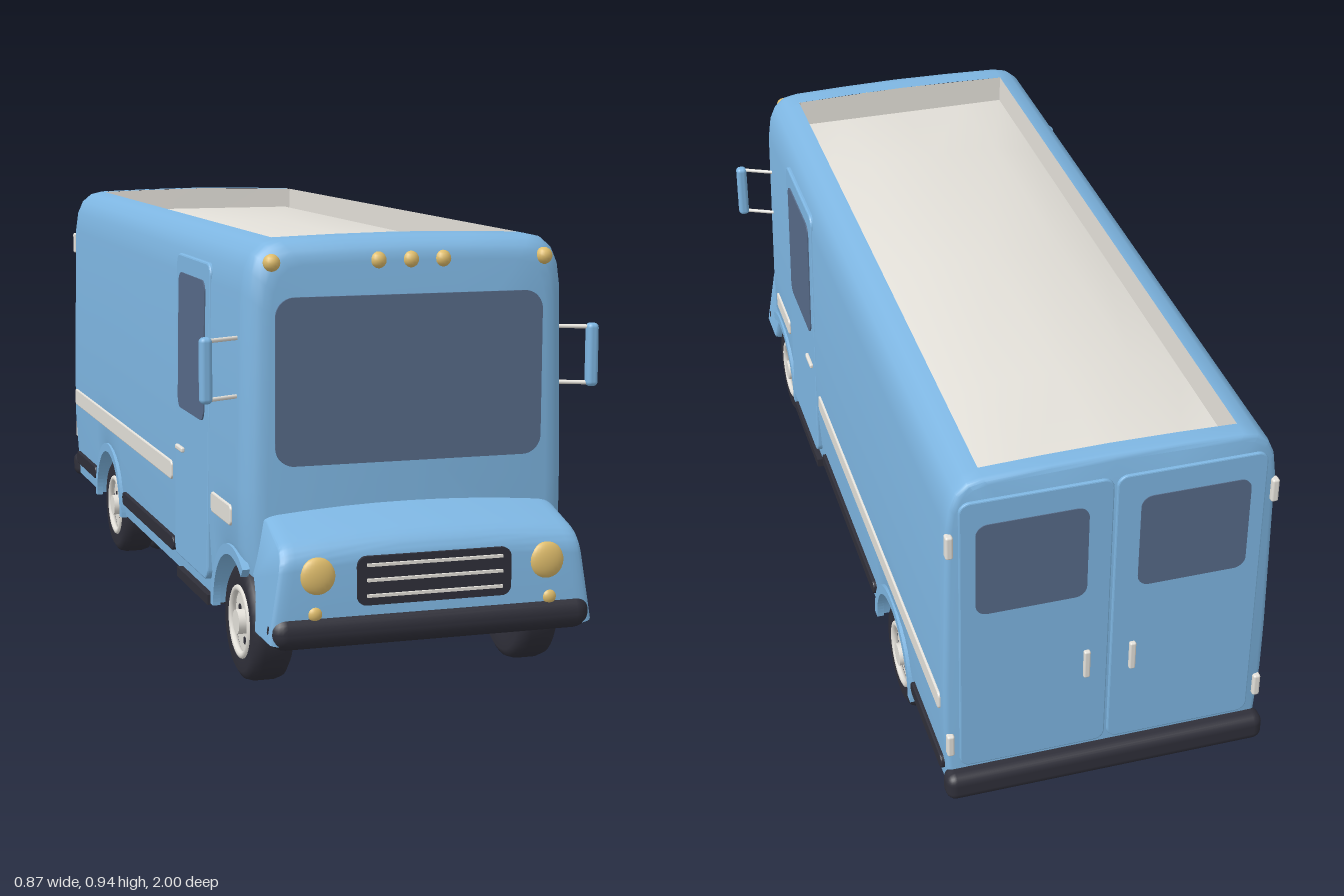
import * as THREE from 'three';
import { toCreasedNormals } from 'three/addons/utils/BufferGeometryUtils.js';
import { RoundedBoxGeometry } from 'three/addons/geometries/RoundedBoxGeometry.js';

const paint = (name, color, side = THREE.FrontSide) => {
  const m = new THREE.MeshStandardMaterial({ color, side });
  m.name = name;
  return m;
};

const ARCH = 0.145, AXLE_Y = 0.125, FRONT_Z = 0.73, REAR_Z = -0.51, FLOOR = 0.13;

export function createModel() {
  const van = new THREE.Group();
  van.name = 'stepVan';
  const blue = paint('bodyBlue', 0x7eb6e2);
  const glass = paint('glass', 0x566a88);
  const dark = paint('darkRubber', 0x2f2f39);
  const silver = paint('silver', 0xe4e1da);
  const roofWhite = paint('roofWhite', 0xe2dfd8, THREE.DoubleSide);
  const gold = paint('amberLamp', 0xdfbd6c);

  const add = (name, geo, mat, x = 0, y = 0, z = 0, parent = van) => {
    const m = new THREE.Mesh(geo, mat);
    m.name = name;
    m.position.set(x, y, z);
    parent.add(m);
    return m;
  };
  const box = (name, w, h, d, mat, x, y, z) => add(name, new THREE.BoxGeometry(w, h, d), mat, x, y, z);
  const soft = (name, w, h, d, r, mat, x, y, z) => add(name, new RoundedBoxGeometry(w, h, d, 3, r), mat, x, y, z);

  // rounded plate facing +z, centred in x and y, its back on z = 0
  const plate = (w, h, r, depth, bevel = 0) => {
    const a = w / 2 - bevel, b = h / 2 - bevel, s = new THREE.Shape();
    s.absarc(a - r, b - r, r, 0, Math.PI / 2);
    s.absarc(r - a, b - r, r, Math.PI / 2, Math.PI);
    s.absarc(r - a, r - b, r, Math.PI, Math.PI * 1.5);
    s.absarc(a - r, r - b, r, Math.PI * 1.5, Math.PI * 2);
    return new THREE.ExtrudeGeometry(s, { depth: depth - bevel, bevelEnabled: bevel > 0, bevelSize: bevel, bevelThickness: bevel, bevelSegments: 2, curveSegments: 6 });
  };
  // plate on a side wall, given by its z and y ranges and outer x, leaning in at the top by tilt
  const sidePlate = (name, side, z0, z1, y0, y1, r, depth, mat, xOut, bevel = 0, tilt = 0) => {
    const g = plate(z1 - z0, y1 - y0, r, depth, bevel);
    g.rotateY(side * Math.PI / 2);
    add(name, g, mat, side * (xOut - depth), (y0 + y1) / 2, (z0 + z1) / 2).rotation.z = side * tilt;
  };

  // body shell: one cross-section lofted along z, with wheel arches and an open roof
  const half = [[0.345, FLOOR], [0.355, 0.3], [0.355, 0.42], [0.347, 0.82], [0.34, 0.87], [0.326, 0.902], [0.302, 0.922], [0.27, 0.929], [0.14, 0.933]];
  const outline = [...half, [0, 0.935], ...half.slice().reverse().map(([x, y]) => [-x, y])];
  const stations = [-0.965, -0.962, -0.957, -0.95, -0.92, 0.74, 0.78, 0.8, 0.815, 0.826, 0.832, 0.835];
  for (const c of [FRONT_Z, REAR_Z]) {
    for (let i = 0; i <= 16; i++) {
      const z = c + ARCH * Math.cos(i * Math.PI / 16);
      if (z < 0.83) stations.push(z);
    }
    if (c === REAR_Z) stations.push(c + ARCH + 0.001);
    stations.push(c - ARCH - 0.001);
  }
  stations.sort((a, b) => a - b);
  const bottom = z => {
    const d = Math.min(Math.abs(z - FRONT_Z), Math.abs(z - REAR_Z));
    return d < ARCH ? Math.max(FLOOR, AXLE_Y + Math.sqrt(ARCH * ARCH - d * d)) : FLOOR;
  };
  const inset = z => {
    const t = z > 0.78 ? (z - 0.78) / 0.055 : z < -0.95 ? (-0.95 - z) / 0.015 : 0;
    return (z > 0 ? 0.05 : 0.012) * (1 - Math.sqrt(Math.max(0, 1 - t * t)));
  };
  const pos = [], index = [], n = outline.length, last = stations.length - 1;
  for (const z of stations) {
    const d = inset(z);
    for (const [x, y] of outline) {
      pos.push(x * (1 - d / 0.355), y === FLOOR ? bottom(z) : y - d * Math.max(0, (y - 0.3) / 0.635), z);
    }
  }
  for (let k = 0; k < last; k++) {
    const open = stations[k] >= -0.921 && stations[k + 1] <= 0.741;
    for (let i = 0; i < n; i++) {
      if (open && i >= 7 && i <= 10) continue;
      const j = (i + 1) % n, a = k * n + i, b = k * n + j;
      index.push(a, b, b + n, a, b + n, a + n);
    }
  }
  pos.push(0, 0.5, stations[0], 0, 0.5, stations[last]);
  const hubBack = (last + 1) * n;
  for (let i = 0; i < n; i++) {
    const j = (i + 1) % n;
    index.push(hubBack, j, i, hubBack + 1, last * n + i, last * n + j);
  }
  const shell = new THREE.BufferGeometry();
  shell.setAttribute('position', new THREE.Float32BufferAttribute(pos, 3));
  shell.setIndex(index);
  add('bodyShell', toCreasedNormals(shell, 0.6), blue);

  // sunken roof panel with a slight crown
  const xs = [-0.27, -0.267, -0.16, 0, 0.16, 0.267, 0.27];
  const zs = [-0.92, -0.917, -0.6, -0.1, 0.42, 0.737, 0.74];
  const rimY = [0.929, 0.929, 0.932, 0.935, 0.932, 0.929, 0.929];
  const tray = new THREE.PlaneGeometry(1, 1, 6, 6).rotateX(-Math.PI / 2);
  for (let r = 0; r < 7; r++) for (let c = 0; c < 7; c++) {
    const ring = Math.min(r, c, 6 - r, 6 - c);
    tray.attributes.position.setXYZ(r * 7 + c, xs[c], [rimY[c], 0.866, 0.9, 0.905][ring], zs[r]);
  }
  add('roofPanel', toCreasedNormals(tray, 0.7), roofWhite);

  // hood: side profile extruded across, tapered and crowned
  const nose = new THREE.Shape();
  nose.moveTo(0.8, 0.38);
  nose.lineTo(0.85, 0.376);
  nose.lineTo(0.93, 0.351);
  nose.quadraticCurveTo(0.972, 0.34, 0.977, 0.3);
  nose.lineTo(0.98, 0.145);
  nose.lineTo(0.885, 0.145);
  for (let i = 1; i <= 6; i++) {
    const a = i * Math.PI / 18;
    nose.lineTo(FRONT_Z + 0.152 * Math.cos(a), AXLE_Y + 0.152 * Math.sin(a));
  }
  const hood = new THREE.ExtrudeGeometry(nose, { depth: 0.58, steps: 8, bevelSize: 0.008, bevelThickness: 0.03, bevelSegments: 4 });
  hood.translate(0, 0, -0.29).rotateY(-Math.PI / 2);
  const hp = hood.attributes.position;
  for (let i = 0; i < hp.count; i++) {
    // the turn maps depth to -x and the profile to +z
    const x = hp.getX(i), y = hp.getY(i);
    hp.setXYZ(i, x * (1.06 - 0.45 * (y - 0.2)), y - (y > 0.3 ? 0.16 * x * x : 0), hp.getZ(i));
  }
  add('hood', toCreasedNormals(hood, 0.6), blue);

  // front face
  add('windshield', plate(0.58, 0.345, 0.04, 0.007), glass, 0, 0.6425, 0.833);
  add('grille', plate(0.33, 0.1, 0.02, 0.012), dark, 0, 0.26, 0.979);
  for (const y of [0.23, 0.262, 0.293]) box('grilleBar', 0.29, 0.006, 0.008, silver, 0, y, 0.993);
  for (const x of [-0.295, -0.07, 0, 0.07, 0.295]) {
    add('markerLamp', new THREE.SphereGeometry(0.018, 14, 10), gold, x, 0.885, 0.828);
  }
  soft('frontBumper', 0.69, 0.072, 0.07, 0.034, dark, 0, 0.161, 0.965);
  soft('rearBumper', 0.715, 0.065, 0.055, 0.022, dark, 0, 0.153, -0.9725);

  // wheels
  const tyreProfile = [[0.07, -0.04], [0.105, -0.045], [0.12, -0.036], [0.125, -0.02], [0.125, 0.02], [0.12, 0.036], [0.105, 0.045], [0.07, 0.04]].map(p => new THREE.Vector2(...p));
  const tyre = new THREE.LatheGeometry(tyreProfile, 36).rotateZ(Math.PI / 2);
  const disc = (r, h) => new THREE.CylinderGeometry(r, r, h, 24).rotateZ(Math.PI / 2);
  const wheel = (name, side, z, dual) => {
    const g = new THREE.Group();
    g.name = name;
    g.position.set(side * 0.295, AXLE_Y, z);
    van.add(g);
    add('tyre', tyre, dark, 0, 0, 0, g);
    if (dual) add('innerTyre', tyre, dark, -side * 0.079, 0, 0, g).scale.x = 0.78;
    add('wheelDisc', disc(0.074, 0.05), silver, side * 0.005, 0, 0, g);
    add('backDisc', disc(0.074, 0.02), dark, -side * (dual ? 0.095 : 0.025), 0, 0, g);
    add('rim', new THREE.TorusGeometry(0.071, 0.008, 8, 32).rotateY(Math.PI / 2), silver, side * 0.039, 0, 0, g);
    add('hub', disc(0.026, 0.03), silver, side * 0.035, 0, 0, g);
    for (let i = 0; i < 6; i++) {
      const a = i * Math.PI / 3;
      add('wheelSlot', disc(0.008, 0.006), dark, side * 0.029, 0.042 * Math.cos(a), 0.042 * Math.sin(a), g);
    }
  };

  for (const s of [-1, 1]) {
    wheel('frontWheel', s, FRONT_Z, false);
    wheel('rearWheel', s, REAR_Z, true);

    // wheel arch flares; the front one stops at the body's front corner
    for (const [z, cut] of [[FRONT_Z, 0.95], [REAR_Z, 0]]) {
      const a0 = s < 0 ? cut : 0, a1 = s < 0 ? Math.PI : Math.PI - cut;
      const arc = new THREE.Shape();
      arc.absarc(0, 0, 0.165, a0, a1, false);
      arc.absarc(0, 0, 0.143, a1, a0, true);
      const g = new THREE.ExtrudeGeometry(arc, { depth: 0.016, bevelEnabled: false, curveSegments: 20 });
      add('archFlare', g.rotateY(s * Math.PI / 2), blue, s * 0.341, AXLE_Y, z);
    }

    // side door, window, handle and step
    sidePlate('sideDoor', s, 0.255, 0.55, 0.17, 0.86, 0.022, 0.02, blue, 0.3555, 0.004, 0.016);
    sidePlate('doorWindow', s, 0.285, 0.515, 0.515, 0.82, 0.025, 0.006, glass, 0.356, 0, 0.016);
    soft('doorHandle', 0.01, 0.012, 0.06, 0.004, silver, s * 0.36, 0.422, 0.31);
    box('doorStep', 0.1, 0.022, 0.28, dark, s * 0.31, 0.128, 0.41);

    // side trim
    sidePlate('trimFront', s, 0.58, 0.74, 0.332, 0.376, 0.008, 0.012, silver, 0.36, 0.003);
    sidePlate('trimLong', s, -0.935, 0.22, 0.332, 0.376, 0.008, 0.012, silver, 0.36, 0.003);
    sidePlate('rubStrip', s, -0.335, 0.22, 0.163, 0.197, 0.012, 0.018, dark, 0.357, 0.003);
    sidePlate('rubStripRear', s, -0.94, -0.68, 0.163, 0.197, 0.012, 0.018, dark, 0.357, 0.003);

    // headlamps and indicators
    const lamp = new THREE.SphereGeometry(1, 24, 14);
    add('headlamp', lamp, gold, s * 0.246, 0.274, 0.98).scale.set(0.039, 0.039, 0.016);
    add('indicator', lamp, gold, s * 0.252, 0.198, 0.982).scale.set(0.016, 0.016, 0.012);

    // mirror on two arms
    soft('mirror', 0.026, 0.136, 0.026, 0.01, blue, s * 0.424, 0.668, 0.795);
    for (const y of [0.608, 0.728]) {
      const arm = new THREE.LineCurve3(new THREE.Vector3(s * 0.338, y, 0.757), new THREE.Vector3(s * 0.418, y, 0.795));
      add('mirrorArm', new THREE.TubeGeometry(arm, 1, 0.0045, 8), silver);
    }

    // rear doors
    const back = (name, w, h, r, d, mat, x, y, z, bevel) => {
      add(name, plate(w, h, r, d, bevel).rotateY(Math.PI), mat, s * x, y, z);
    };
    back('rearDoor', 0.32, 0.69, 0.02, 0.01, blue, 0.163, 0.54, -0.962, 0.003);
    back('rearWindow', 0.235, 0.225, 0.025, 0.005, glass, 0.172, 0.715, -0.969);
    soft('rearHandle', 0.014, 0.07, 0.012, 0.004, silver, s * 0.05, 0.42, -0.976);
    for (const y of [0.26, 0.785]) soft('doorHinge', 0.016, 0.055, 0.02, 0.005, silver, s * 0.343, y, -0.966);

    // chassis rails
    box('chassisRail', 0.03, 0.03, 1.77, dark, s * 0.125, 0.118, -0.025);
  }

  // wheel wells and running gear underneath
  box('frontWheelWell', 0.46, 0.16, 0.28, dark, 0, 0.205, FRONT_Z);
  box('rearWheelWell', 0.36, 0.16, 0.28, dark, 0, 0.205, REAR_Z);
  for (const z of [FRONT_Z, REAR_Z]) add('axle', disc(0.018, 0.5), dark, 0, AXLE_Y, z);
  add('differential', new THREE.SphereGeometry(0.045, 18, 12), dark, 0, AXLE_Y, REAR_Z);
  return van;
}
